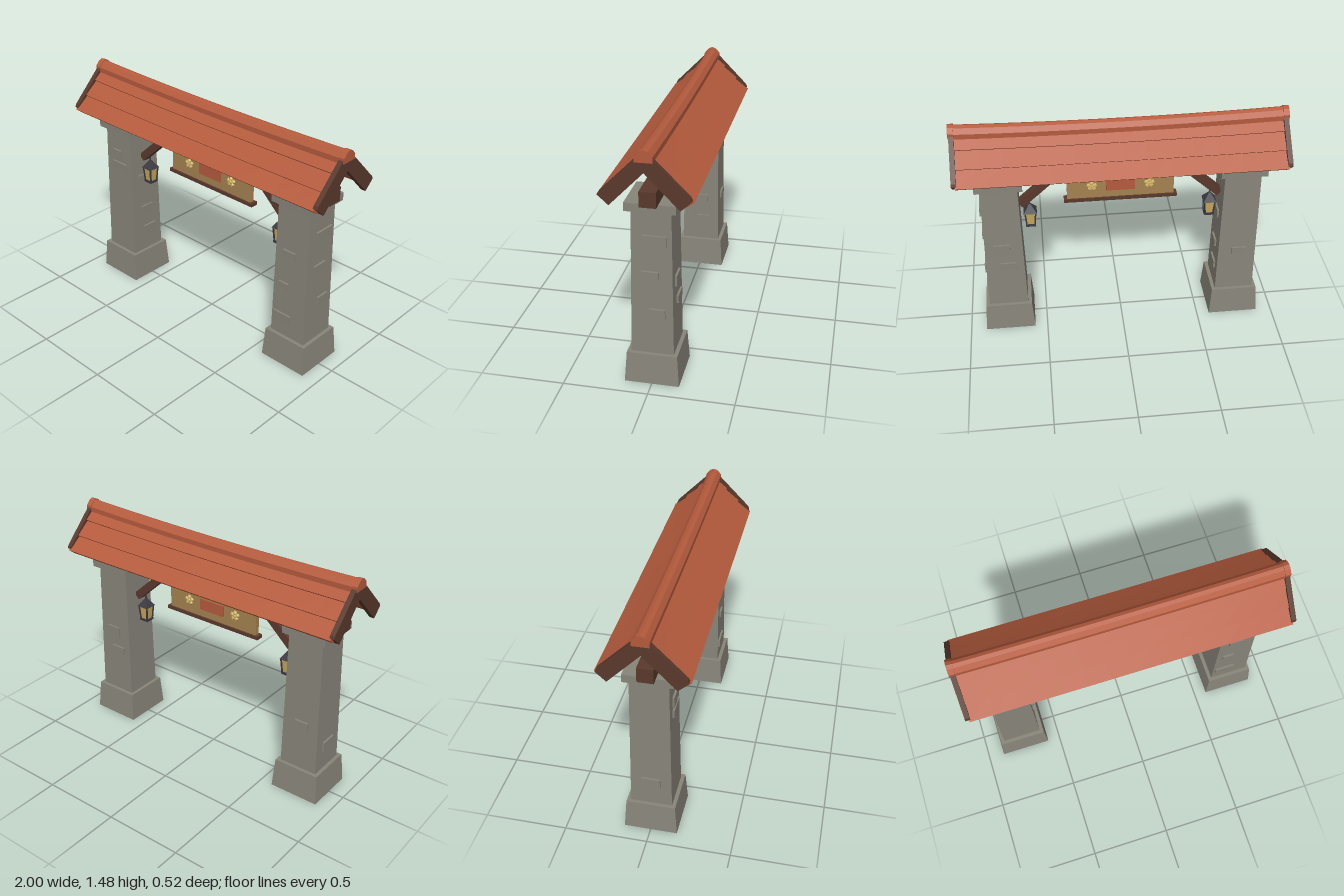
import * as THREE from 'three';

const material = (name, color) => {
  const m = new THREE.MeshStandardMaterial({ color });
  m.name = name;
  return m;
};

export function createModel() {
  const stone = material('stone', 0x88857a);
  const clay = material('clay tile', 0xb55b3d);
  const wood = material('dark wood', 0x5a392c);
  const panel = material('sign panel', 0xa58250);
  const gold = material('gold', 0xd2b468);
  const glass = material('lantern glass', 0xcaa95c);
  const iron = material('iron', 0x3b3b42);

  const model = new THREE.Group();
  model.name = 'gateway';

  const add = (parent, name, geometry, mat, x = 0, y = 0, z = 0) => {
    const mesh = new THREE.Mesh(geometry, mat);
    mesh.name = name;
    mesh.position.set(x, y, z);
    parent.add(mesh);
    return mesh;
  };
  const box = (parent, name, mat, w, h, d, x, y, z) =>
    add(parent, name, new THREE.BoxGeometry(w, h, d), mat, x, y, z);

  // Square tapered block, given half widths and its bottom and top heights
  const frustum = (parent, name, mat, halfBottom, halfTop, y0, y1, x = 0) => {
    const g = new THREE.CylinderGeometry(halfTop * Math.SQRT2, halfBottom * Math.SQRT2, y1 - y0, 4)
      .rotateY(Math.PI / 4).toNonIndexed();
    g.computeVertexNormals();
    return add(parent, name, g, mat, x, (y0 + y1) / 2, 0);
  };

  // Sweep a [z, y] profile along x, sagging more towards the ridge
  const sweep = (parent, name, mat, profile, x0, x1, steps) => {
    const shape = new THREE.Shape(profile.map(([z, y]) => new THREE.Vector2(-z, y)));
    const g = new THREE.ExtrudeGeometry(shape, { depth: x1 - x0, steps, bevelEnabled: false });
    g.rotateY(Math.PI / 2).translate(x0, 0, 0);
    const p = g.attributes.position;
    for (let i = 0; i < p.count; i++) {
      const x = p.getX(i), y = p.getY(i);
      p.setY(i, y - 0.018 * (1 - x * x) * Math.max(0, (y - 1.18) / 0.3));
    }
    g.computeVertexNormals();
    return add(parent, name, g, mat);
  };

  // Pillars with raised bricks: [face, offset along face, y, width, height]
  const bricks = {
    leftPillar: [
      ['front', -0.013, 0.765, 0.09, 0.048], ['front', -0.043, 0.543, 0.07, 0.043],
      ['front', -0.045, 0.315, 0.13, 0.06],
      ['+x', -0.02, 0.905, 0.135, 0.06], ['+x', 0.01, 0.69, 0.1, 0.05], ['+x', -0.03, 0.45, 0.09, 0.062],
      ['back', 0.01, 0.635, 0.1, 0.065], ['back', -0.025, 0.5, 0.1, 0.05],
    ],
    rightPillar: [
      ['front', -0.01, 0.905, 0.072, 0.07], ['front', 0.01, 0.828, 0.13, 0.05],
      ['+x', 0.01, 0.74, 0.1, 0.055], ['+x', 0.0, 0.505, 0.09, 0.05], ['+x', -0.02, 0.345, 0.1, 0.055],
      ['-x', 0, 0.35, 0.11, 0.065], ['back', -0.01, 0.5, 0.09, 0.085 * 0.6],
    ],
  };
  for (const [name, side] of [['leftPillar', 1], ['rightPillar', -1]]) {
    const pillar = new THREE.Group();
    pillar.name = name;
    pillar.position.x = side * 0.74;
    model.add(pillar);
    frustum(pillar, 'base', stone, 0.16, 0.147, 0, 0.19);
    frustum(pillar, 'shaft', stone, 0.124, 0.112, 0.19, 1.08);
    box(pillar, 'capstone', stone, 0.286, 0.05, 0.286, 0, 1.105, 0);
    for (const [face, u, y, w, h] of bricks[name]) {
      const half = 0.124 - 0.012 * (y - 0.19) / 0.89 - 0.003;
      if (face === 'front' || face === 'back')
        box(pillar, 'brick', stone, w, h, 0.03, u, y, face === 'front' ? half : -half);
      else
        box(pillar, 'brick', stone, 0.03, h, w, face === '+x' ? half : -half, y, u);
    }
  }

  // Main beam
  box(model, 'beam', wood, 1.855, 0.09, 0.094, 0, 1.175, 0);

  // Roof: overlapping tile rows on both slopes, bargeboards and ridge
  const roof = new THREE.Group();
  roof.name = 'roof';
  model.add(roof);
  const rows = [
    [[0.26, 1.207], [0.165, 1.28], [0.145, 1.25], [0.222, 1.176]],
    [[0.178, 1.286], [0.085, 1.36], [0.065, 1.33], [0.155, 1.262]],
    [[0.096, 1.367], [0, 1.445], [0, 1.395], [0.073, 1.342]],
  ];
  const barge = [[0, 1.45], [0.04, 1.438], [0.243, 1.233], [0.25, 1.215], [0.19, 1.16], [0, 1.356]];
  for (const s of [1, -1]) {
    const mirror = (profile) => profile.map(([z, y]) => [s * z, y]);
    for (const row of rows) sweep(roof, 'tileRow', clay, mirror(row), -0.975, 0.975, 14);
    for (const x of [-0.995, 0.965]) sweep(roof, 'bargeboard', wood, mirror(barge), x, x + 0.03, 1);
  }
  const ridge = [[-0.046, 1.408], [-0.046, 1.44], [-0.022, 1.468], [0, 1.477],
    [0.022, 1.468], [0.046, 1.44], [0.046, 1.408]];
  sweep(roof, 'ridge', clay, ridge, -0.975, 0.975, 14);
  const ridgeEnd = ridge.map(([z, y]) => [z * 1.06, y + 0.005]);
  for (const x of [-1, 0.965]) sweep(roof, 'ridgeEnd', clay, ridgeEnd, x, x + 0.035, 1);

  // Diagonal braces and hanging lanterns
  for (const s of [1, -1]) {
    const brace = box(model, 'brace', wood, 0.36, 0.05, 0.05, s * 0.488, 1.015, 0);
    brace.rotation.z = -s * 0.745;

    const lantern = new THREE.Group();
    lantern.name = 'lantern';
    lantern.position.x = s * 0.562;
    model.add(lantern);
    box(lantern, 'hook', iron, 0.008, 0.06, 0.008, 0, 0.905, 0);
    frustum(lantern, 'lanternRoof', iron, 0.041, 0.006, 0.832, 0.885);
    frustum(lantern, 'lanternGlass', glass, 0.024, 0.031, 0.742, 0.832);
    frustum(lantern, 'lanternBase', iron, 0.031, 0.031, 0.729, 0.744);
    for (const px of [1, -1]) for (const pz of [1, -1]) {
      const post = box(lantern, 'lanternPost', iron, 0.009, 0.092, 0.009, px * 0.029, 0.787, pz * 0.029);
      post.rotation.set(pz * 0.08, 0, -px * 0.08);
    }
  }

  // Hanging sign with decoration on both faces
  const sign = new THREE.Group();
  sign.name = 'sign';
  model.add(sign);
  box(sign, 'signBoard', panel, 0.66, 0.19, 0.03, 0, 1.0, 0);
  box(sign, 'topRail', wood, 0.7, 0.022, 0.05, 0, 1.1, 0);
  box(sign, 'bottomRail', wood, 0.7, 0.022, 0.05, 0, 0.902, 0);
  for (const s of [1, -1]) {
    box(sign, 'hanger', iron, 0.01, 0.03, 0.01, s * 0.265, 1.12, 0);
    box(sign, 'signPlate', clay, 0.178, 0.073, 0.009, 0, 1.0, s * 0.0185);
    for (const x of [-0.177, 0.177]) {
      const flower = new THREE.Group();
      flower.name = 'flower';
      flower.position.set(x, 1.0, s * 0.017);
      sign.add(flower);
      add(flower, 'flowerCentre', new THREE.IcosahedronGeometry(0.017, 0), gold);
      for (let i = 0; i < 5; i++) {
        const a = Math.PI / 2 + i * Math.PI * 0.4;
        add(flower, 'petal', new THREE.IcosahedronGeometry(0.015, 0), gold,
          Math.cos(a) * 0.02, Math.sin(a) * 0.02, 0);
      }
    }
  }
  return model;
}
